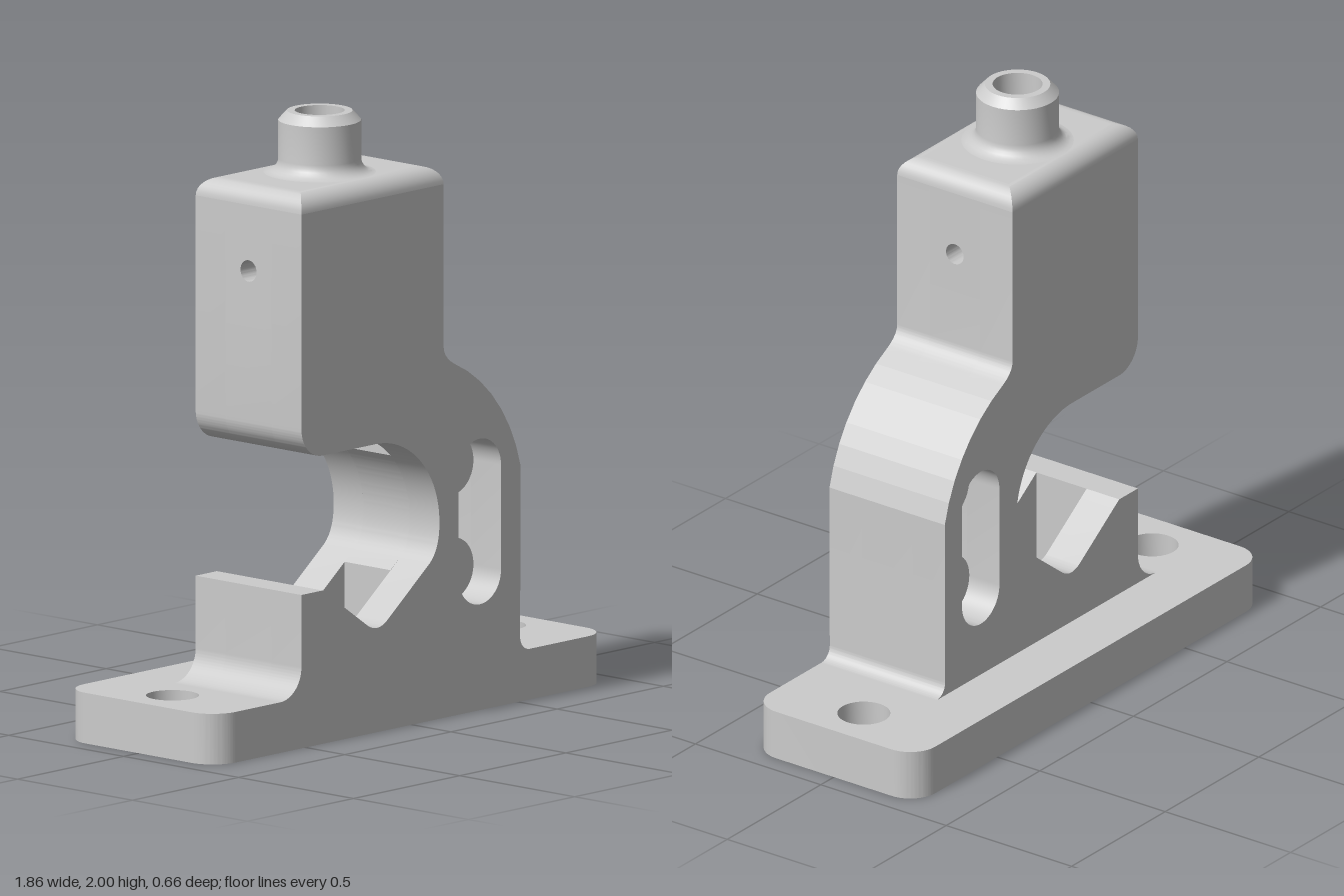
import * as THREE from 'three';
import { toCreasedNormals } from 'three/addons/utils/BufferGeometryUtils.js';

const PI = Math.PI;
const X0 = -0.52, X1 = 0.15;    // upper block, x
const Z0 = -0.13, Z1 = 0.33;    // body, z
const CX0 = -0.42, CX1 = 0.04;  // inner channel, x
const CZ0 = 0, CZ1 = 0.2;       // inner channel, z
const BASE = 0.165, SPLIT = 1.4, EDGE = 1.74, TOP = 1.8;
const SX = -0.185, SZ = 0.1;    // spout axis
const SLOT = { x: 0.32, low: 0.445, high: 0.785, r: 0.1 };

const material = new THREE.MeshStandardMaterial({ color: 0xcccccc });

function add(group, name, geometry) {
  const mesh = new THREE.Mesh(geometry, material);
  mesh.name = name;
  group.add(mesh);
  return mesh;
}

function extrude(shape, depth, crease = 0.12) {
  return toCreasedNormals(new THREE.ExtrudeGeometry(shape, { depth, bevelEnabled: false, curveSegments: 16 }), crease);
}

function circle(x, y, r) {
  return new THREE.Path().absarc(x, y, r, 0, PI * 2, false);
}

function rect(x0, y0, x1, y1, Type = THREE.Shape) {
  return new Type([[x0, y0], [x1, y0], [x1, y1], [x0, y1]].map(p => new THREE.Vector2(...p)));
}

// Outer right edge: foot fillet, column, faceted shoulder, neck fillet
function rightEdge(shape) {
  shape.moveTo(0.555, BASE);
  shape.absarc(0.555, 0.21, 0.045, -PI / 2, -PI, true);
  for (let i = 0; i <= 7; i++) {
    const a = 0.236 + (1.147 - 0.236) * i / 7;
    shape.lineTo(-0.03 + 0.557 * Math.cos(a), 0.64 + 0.557 * Math.sin(a));
  }
  shape.quadraticCurveTo(0.15, 1.175, X1, 1.21);
}

// Round throat of the jaw, from a given angle down to the V slope
function throat(shape, startAngle) {
  shape.absarc(-0.17, 0.64, 0.3, startAngle, 0, true);
  shape.quadraticCurveTo(0.13, 0.55, 0.08, 0.51);
}

// Left tab edge with its foot fillet
function tabEdge(shape) {
  shape.lineTo(CX0, 0.5);
  shape.lineTo(X0, 0.5);
  shape.absarc(-0.62, 0.265, 0.1, 0, -PI / 2, true);
}

function blockCorner(shape) {
  shape.absarc(-0.42, 1.04, 0.1, PI, PI * 1.5, false);
}

function slotHole() {
  const p = new THREE.Path();
  p.absarc(SLOT.x, SLOT.high, SLOT.r, 0, PI, false);
  p.absarc(SLOT.x, SLOT.low, SLOT.r, PI, PI * 2, false);
  p.closePath();
  return p;
}

// Complete side profile, used for front and back walls
function wallShape() {
  const s = new THREE.Shape();
  rightEdge(s);
  s.lineTo(X1, EDGE);
  s.lineTo(X0, EDGE);
  blockCorner(s);
  throat(s, PI / 2);
  s.lineTo(-0.12, 0.355);
  s.quadraticCurveTo(-0.165, 0.325, -0.21, 0.355);
  tabEdge(s);
  s.holes.push(slotHole());
  return s;
}

// Profiles of the middle layer, leaving the channel open
function coreShapes() {
  const column = new THREE.Shape();
  rightEdge(column);
  column.lineTo(X1, SPLIT);
  column.lineTo(CX1, SPLIT);
  throat(column, Math.acos((CX1 + 0.17) / 0.3));
  column.lineTo(CX1, 0.48);
  column.lineTo(CX1, BASE);
  column.holes.push(slotHole());

  const tab = new THREE.Shape();
  tab.moveTo(CX0, BASE);
  tabEdge(tab);

  const blockLeft = new THREE.Shape();
  blockLeft.moveTo(CX0, SPLIT);
  blockLeft.lineTo(X0, SPLIT);
  blockCorner(blockLeft);
  return { columnCore: column, tabCore: tab, blockLeftCore: blockLeft };
}

// Mitred quarter-round border around the block's top
function roundedBorder(r) {
  const steps = 8, pos = [];
  const ring = i => {
    const t = (i / steps) * PI / 2, d = r * (1 - Math.cos(t)), y = EDGE + r * Math.sin(t);
    return [[X0 + d, y, Z1 - d], [X1 - d, y, Z1 - d], [X1 - d, y, Z0 + d], [X0 + d, y, Z0 + d]];
  };
  for (let i = 0; i < steps; i++) {
    const a = ring(i), b = ring(i + 1);
    for (let k = 0; k < 4; k++) {
      const n = (k + 1) % 4;
      pos.push(...a[k], ...a[n], ...b[n], ...a[k], ...b[n], ...b[k]);
    }
  }
  const g = new THREE.BufferGeometry();
  g.setAttribute('position', new THREE.Float32BufferAttribute(pos, 3));
  return toCreasedNormals(g, 0.4);
}

export function createModel() {
  const model = new THREE.Group();
  model.name = 'clampBracket';

  // Base plate with screw holes and channel opening
  const w = 0.93, h = 0.33, r = 0.1;
  const plate = new THREE.Shape();
  plate.absarc(w - r, h - r, r, 0, PI / 2, false);
  plate.absarc(-w + r, h - r, r, PI / 2, PI, false);
  plate.absarc(-w + r, -h + r, r, PI, PI * 1.5, false);
  plate.absarc(w - r, -h + r, r, PI * 1.5, PI * 2, false);
  plate.closePath();
  for (const side of [-1, 1]) plate.holes.push(circle(side * 0.77, 0, 0.085));
  plate.holes.push(rect(CX0, -CZ1, CX1, -CZ0, THREE.Path));
  add(model, 'basePlate', extrude(plate, BASE, 0.25).rotateX(-PI / 2));

  // Body in three layers
  add(model, 'frontWall', extrude(wallShape(), Z1 - CZ1)).position.z = CZ1;
  add(model, 'backWall', extrude(wallShape(), CZ0 - Z0)).position.z = Z0;
  for (const [name, shape] of Object.entries(coreShapes())) {
    add(model, name, extrude(shape, CZ1 - CZ0)).position.z = CZ0;
  }

  // Side panels of the block with a cross-pin hole
  for (const [name, x0, x1] of [['leftPanel', CX1, X1], ['rightPanel', X0, CX0]]) {
    const s = rect(-CZ1, SPLIT, -CZ0, EDGE);
    s.holes.push(circle(-SZ, 1.525, 0.035));
    add(model, name, extrude(s, x1 - x0, 0.25).rotateY(PI / 2)).position.x = x0;
  }

  // Block top: rounded border and bored plate
  const e = TOP - EDGE;
  add(model, 'topBorder', roundedBorder(e));
  const top = rect(X0 + e, -Z1 + e, X1 - e, -Z0 - e);
  top.holes.push(circle(SX, -SZ, 0.08));
  add(model, 'topPlate', extrude(top, e, 0.25).rotateX(-PI / 2)).position.y = EDGE;

  // Hollow spout with flared foot and chamfered rim
  const profile = [];
  for (let i = 0; i <= 6; i++) {
    const a = (i / 6) * PI / 2;
    profile.push(new THREE.Vector2(0.18 - 0.047 * Math.sin(a), TOP + 0.045 * (1 - Math.cos(a))));
  }
  for (const p of [[0.133, 1.97], [0.105, 2], [0.08, 2], [0.08, TOP]]) profile.push(new THREE.Vector2(...p));
  const spout = add(model, 'spout', toCreasedNormals(new THREE.LatheGeometry(profile, 40), 0.4));
  spout.position.set(SX, 0, SZ);

  // Recessed pins at both ends of the slot
  for (const y of [SLOT.low, SLOT.high]) {
    const pin = add(model, 'slotPin', new THREE.CylinderGeometry(SLOT.r, SLOT.r, 0.22, 40).rotateX(PI / 2));
    pin.position.set(SLOT.x, y, SZ);
  }
  return model;
}
